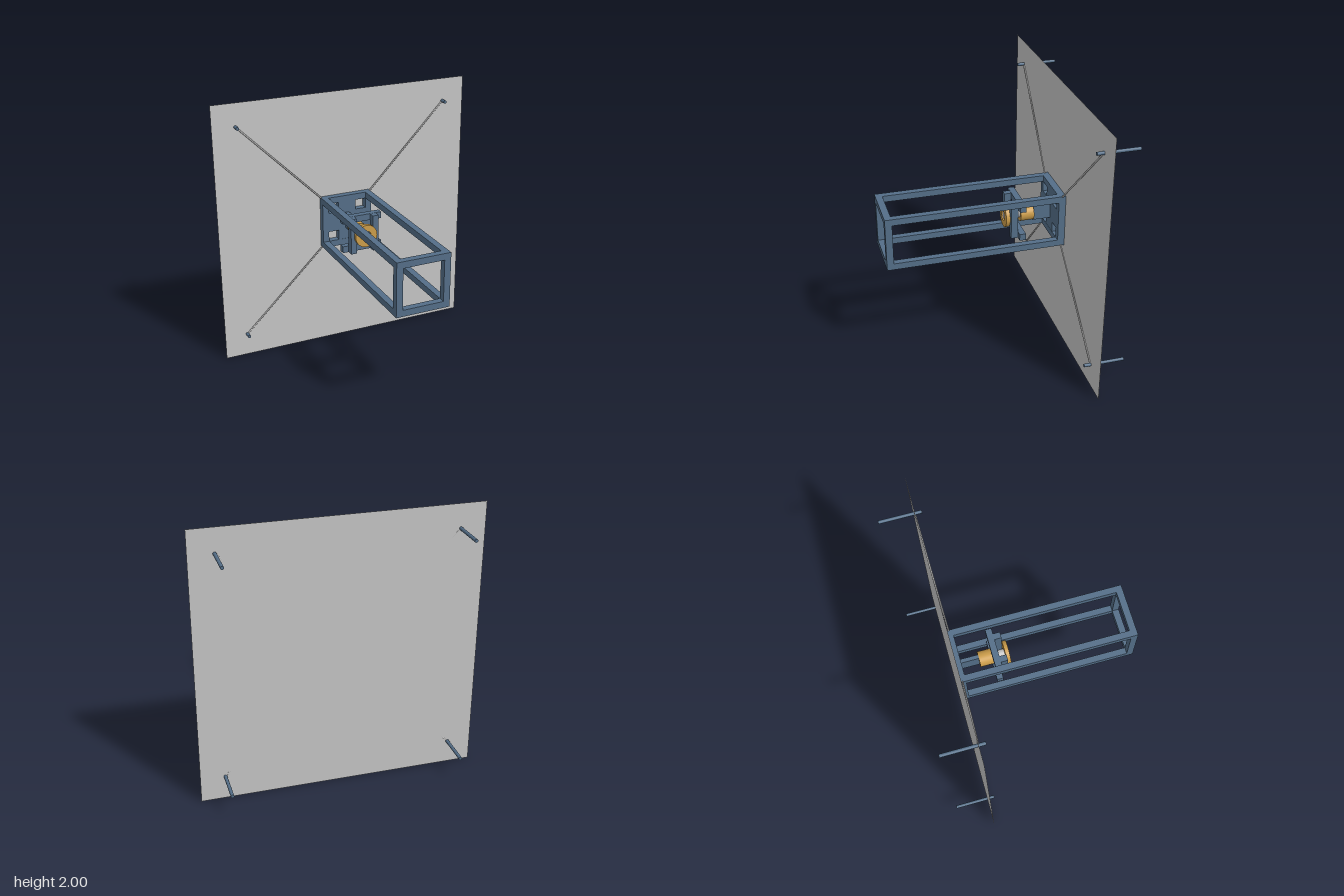
import * as THREE from 'three';

const mat = (name, color) => {
  const m = new THREE.MeshStandardMaterial({ color });
  m.name = name;
  return m;
};

export function createModel() {
  const root = new THREE.Group();
  root.name = 'sailSpacecraft';
  const blue = mat('slate blue frame', 0x546e88);
  const silver = mat('silver', 0xc4c4c4);
  const brass = mat('brass', 0xcc9d4a);
  const CY = 1;

  const add = (name, geo, m, x = 0, y = 0, z = 0, parent = root) => {
    const mesh = new THREE.Mesh(geo, m);
    mesh.name = name;
    mesh.position.set(x, y, z);
    parent.add(mesh);
    return mesh;
  };
  // Box given by its centre in x and y and its z range
  const block = (name, w, h, z0, z1, m, x = 0, y = CY, parent = root) =>
    add(name, new THREE.BoxGeometry(w, h, z1 - z0), m, x, y, (z0 + z1) / 2, parent);
  // Cylinder along z
  const rod = (name, r, z0, z1, m, x = 0, y = CY, parent = root) =>
    add(name, new THREE.CylinderGeometry(r, r, z1 - z0, 32).rotateX(Math.PI / 2), m, x, y, (z0 + z1) / 2, parent);

  // Sail sheet
  block('sail', 2, 2, -0.5305, -0.5295, silver);

  // Open box frame
  const frame = new THREE.Group();
  frame.name = 'busFrame';
  root.add(frame);
  const bar = 0.048, half = 0.2, c = half - bar / 2, inner = 2 * (half - bar);
  for (const s of [-1, 1]) {
    for (const t of [-1, 1]) block('longRail', bar, bar, -0.528, 0.777, blue, s * c, CY + t * c, frame);
    for (const [z0, z1] of [[-0.528, -0.477], [0.727, 0.777]]) {
      block('crossRail', inner, bar, z0, z1, blue, 0, CY + s * c, frame);
      block('upright', bar, inner, z0, z1, blue, s * c, CY, frame);
    }
  }

  // Cross-shaped rear panel
  block('rearPanelVertical', 0.14, inner, -0.527, -0.478, blue);
  for (const s of [-1, 1]) block('rearPanelArm', 0.084, 0.15, -0.527, -0.478, blue, s * 0.11);

  // Drive bracket
  const bracket = new THREE.Group();
  bracket.name = 'driveBracket';
  root.add(bracket);
  for (const s of [-1, 1]) {
    block('bracketBar', 0.31, 0.05, -0.25, -0.203, blue, 0, CY + s * 0.114, bracket);
    block('bracketPost', 0.046, 0.276, -0.203, -0.152, blue, s * 0.088, CY, bracket);
  }

  // Motor, its mounting fin and shaft
  block('motorMount', 0.03, 0.125, -0.478, -0.342, blue);
  rod('motor', 0.057, -0.343, -0.243, brass);
  rod('shaft', 0.03, -0.243, -0.13, silver);

  // Flywheel with a bored centre
  const ring = new THREE.Shape().absarc(0, 0, 0.086, 0, Math.PI * 2);
  ring.holes.push(new THREE.Path().absarc(0, 0, 0.038, 0, Math.PI * 2, true));
  add('flywheel', new THREE.ExtrudeGeometry(ring, { depth: 0.03, bevelEnabled: false, curveSegments: 32 }),
    brass, 0, CY, -0.153);

  // Diagonal booms and tip rods
  for (const s of [-1, 1]) for (const t of [-1, 1]) {
    const a = new THREE.Vector3(s * 0.197, CY + t * 0.197, -0.503);
    const b = new THREE.Vector3(s * 0.825, CY + t * 0.825, -0.527);
    const boom = add('boom', new THREE.CylinderGeometry(0.006, 0.006, a.distanceTo(b), 8), silver);
    boom.position.copy(a).lerp(b, 0.5);
    boom.quaternion.setFromUnitVectors(new THREE.Vector3(0, 1, 0), b.clone().sub(a).normalize());
    rod('tipRod', 0.012, -0.777, -0.478, blue, s * 0.825, CY + t * 0.825);
  }
  return root;
}
